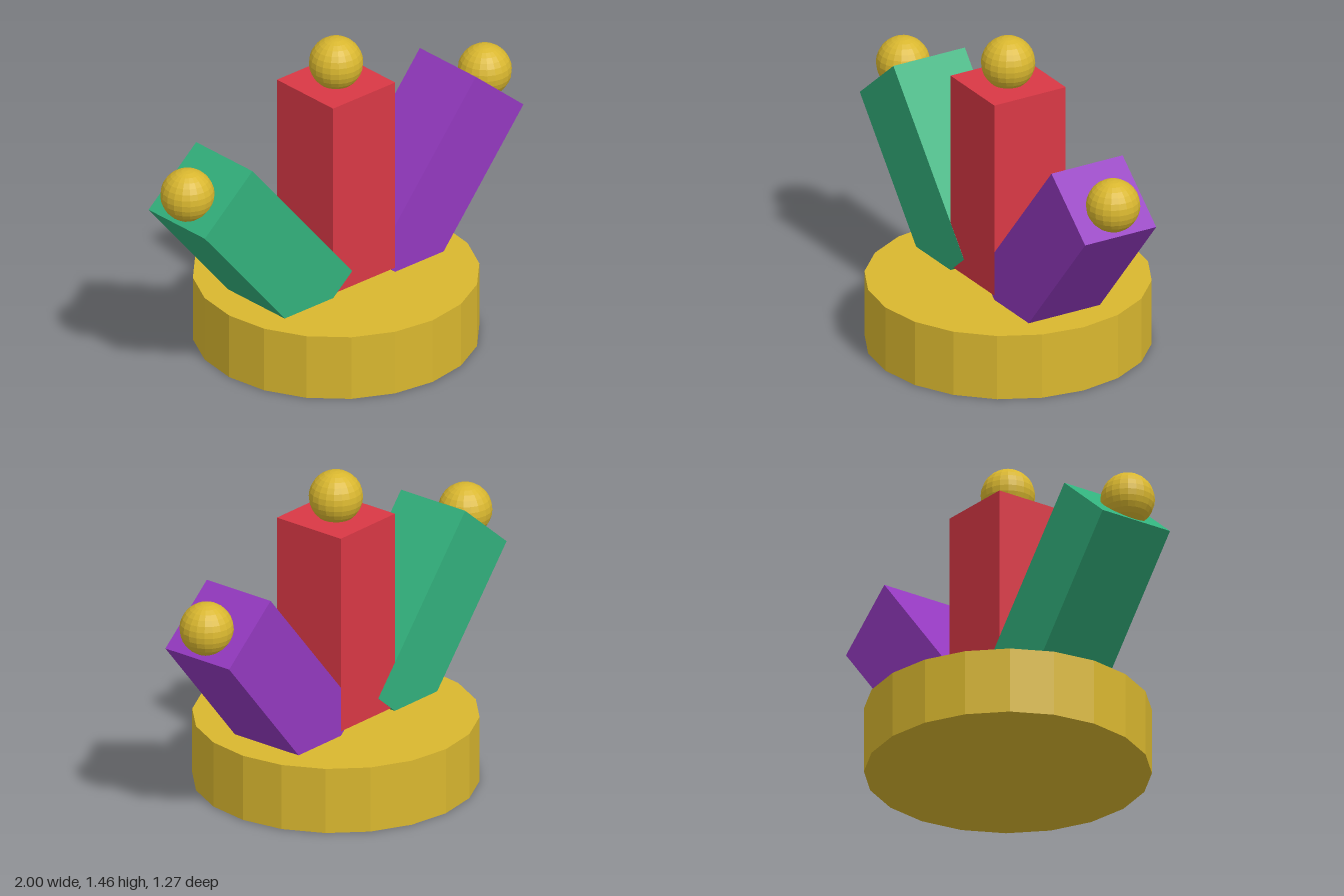
import * as THREE from 'three';

export function createModel() {
  const model = new THREE.Group();
  model.name = 'threePillarStand';

  const material = (name, color) => {
    const m = new THREE.MeshStandardMaterial({ color, flatShading: true });
    m.name = name;
    return m;
  };
  const gold = material('gold', 0xd9b72f);
  const red = material('red', 0xd93845);
  const green = material('green', 0x32b07c);
  const purple = material('purple', 0x9339bf);

  const add = (name, geometry, mat, x, y, tilt = 0) => {
    const mesh = new THREE.Mesh(geometry, mat);
    mesh.name = name;
    mesh.position.set(x, y, 0);
    mesh.rotation.z = tilt;
    model.add(mesh);
  };

  // Twenty-sided base
  const baseHeight = 0.306;
  add('base', new THREE.CylinderGeometry(0.633, 0.633, baseHeight, 20), gold, 0, baseHeight / 2);

  // Upright pillar and two pillars leaning outwards; tiny depth steps keep overlapping faces apart
  const width = 0.368, length = 0.92, lean = THREE.MathUtils.degToRad(40);
  const pillar = (step) => new THREE.BoxGeometry(width, length, width + step);
  add('centrePillar', pillar(0), red, 0, 0.787);
  add('leftPillar', pillar(-0.001), purple, 0.507, 0.635, -lean);
  add('rightPillar', pillar(0.001), green, -0.507, 0.635, lean);

  // Ball on each pillar
  const ball = new THREE.SphereGeometry(0.12, 20, 14);
  add('centreBall', ball, gold, 0, 1.34);
  add('leftBall', ball, gold, 0.88, 0.994);
  add('rightBall', ball, gold, -0.88, 0.994);

  return model;
}
